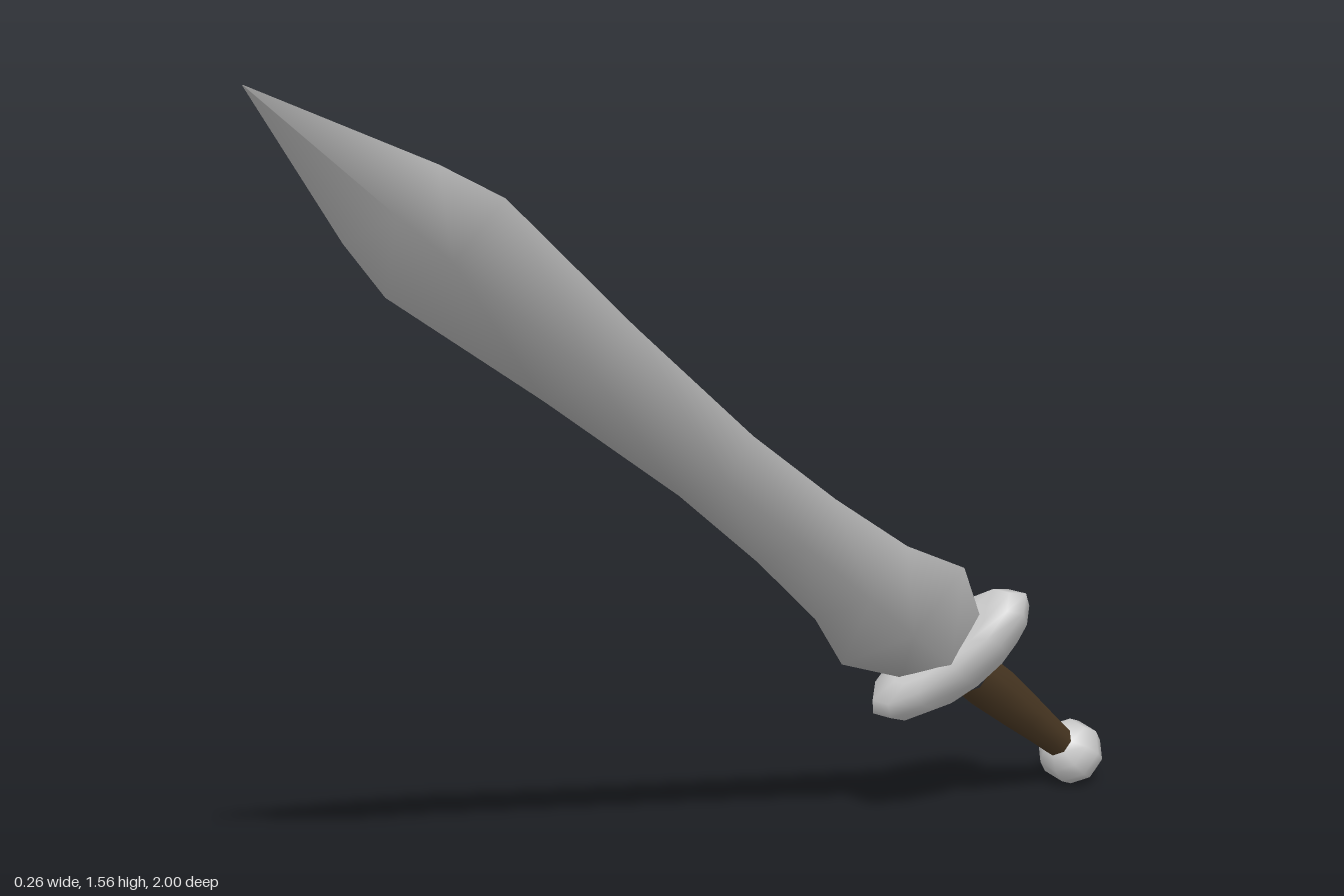
import * as THREE from 'three';

export function createModel() {
  const sword = new THREE.Group();
  sword.name = 'sword';

  const mat = (name, color, side = THREE.FrontSide) => {
    const m = new THREE.MeshStandardMaterial({ color, side });
    m.name = name;
    return m;
  };
  const bladeSteel = mat('blade steel', 0xb2b2b2);
  const brightSteel = mat('bright steel', 0xcacaca);
  const gripLeather = mat('grip leather', 0x4a3823);

  const add = (name, geometry, material) => {
    const mesh = new THREE.Mesh(geometry, material);
    mesh.name = name;
    sword.add(mesh);
    return mesh;
  };
  const lathe = (profile, sides) =>
    new THREE.LatheGeometry(profile.map(([r, y]) => new THREE.Vector2(r, y)), sides);

  // The sword is built along +y from the pommel, with its width along x

  // Blade: smooth diamond sections [height, half width, half thickness]
  const sections = [
    [0.43, 0.075, 0.045], [0.47, 0.086, 0.046], [0.6, 0.133, 0.047],
    [0.74, 0.099, 0.044], [0.95, 0.083, 0.041], [1.2, 0.077, 0.038],
    [1.57, 0.092, 0.036], [1.96, 0.117, 0.034], [2.1, 0.092, 0.027],
    [2.46, 0.0005, 0.0005],
  ];
  const positions = [];
  const index = [];
  sections.forEach(([y, w, h], i) => {
    positions.push(w, y, 0, 0, y, h, -w, y, 0, 0, y, -h);
    if (i === 0) return;
    for (let k = 0; k < 4; k++) {
      const a = (i - 1) * 4 + k, b = (i - 1) * 4 + ((k + 1) % 4);
      index.push(a, a + 4, b, b, a + 4, b + 4);
    }
  });
  const blade = new THREE.BufferGeometry();
  blade.setAttribute('position', new THREE.Float32BufferAttribute(positions, 3));
  blade.setIndex(index);
  blade.computeVertexNormals();
  add('blade', blade, bladeSteel);

  // Guard: oval bowl with its rim towards the blade
  const guard = lathe([
    [0, 0.345], [0.05, 0.35], [0.112, 0.374], [0.155, 0.407],
    [0.168, 0.44], [0.15, 0.47], [0.1, 0.475], [0, 0.47],
  ], 12);
  guard.scale(1, 1, 0.37);
  add('guard', guard, brightSteel);

  // Grip: tapering towards the pommel
  add('grip', lathe([
    [0.028, 0.03], [0.031, 0.09], [0.038, 0.18], [0.045, 0.29], [0.044, 0.37],
  ], 8), gripLeather);

  // Pommel: low-sided ball
  add('pommel', new THREE.SphereGeometry(0.058, 8, 6), brightSteel);

  // Tilt the sword: point forwards and up, flat sides facing sideways
  const along = new THREE.Vector3(0.057, 0.61, 0.79).normalize();
  const across = new THREE.Vector3(0.545, 0.643, -0.538);
  across.addScaledVector(along, -across.dot(along)).normalize();
  const flat = new THREE.Vector3().crossVectors(across, along);
  sword.quaternion.setFromRotationMatrix(new THREE.Matrix4().makeBasis(across, along, flat));
  sword.position.set(-0.05, 0.057, -0.944);

  const model = new THREE.Group();
  model.name = 'tilted sword';
  model.add(sword);
  return model;
}
